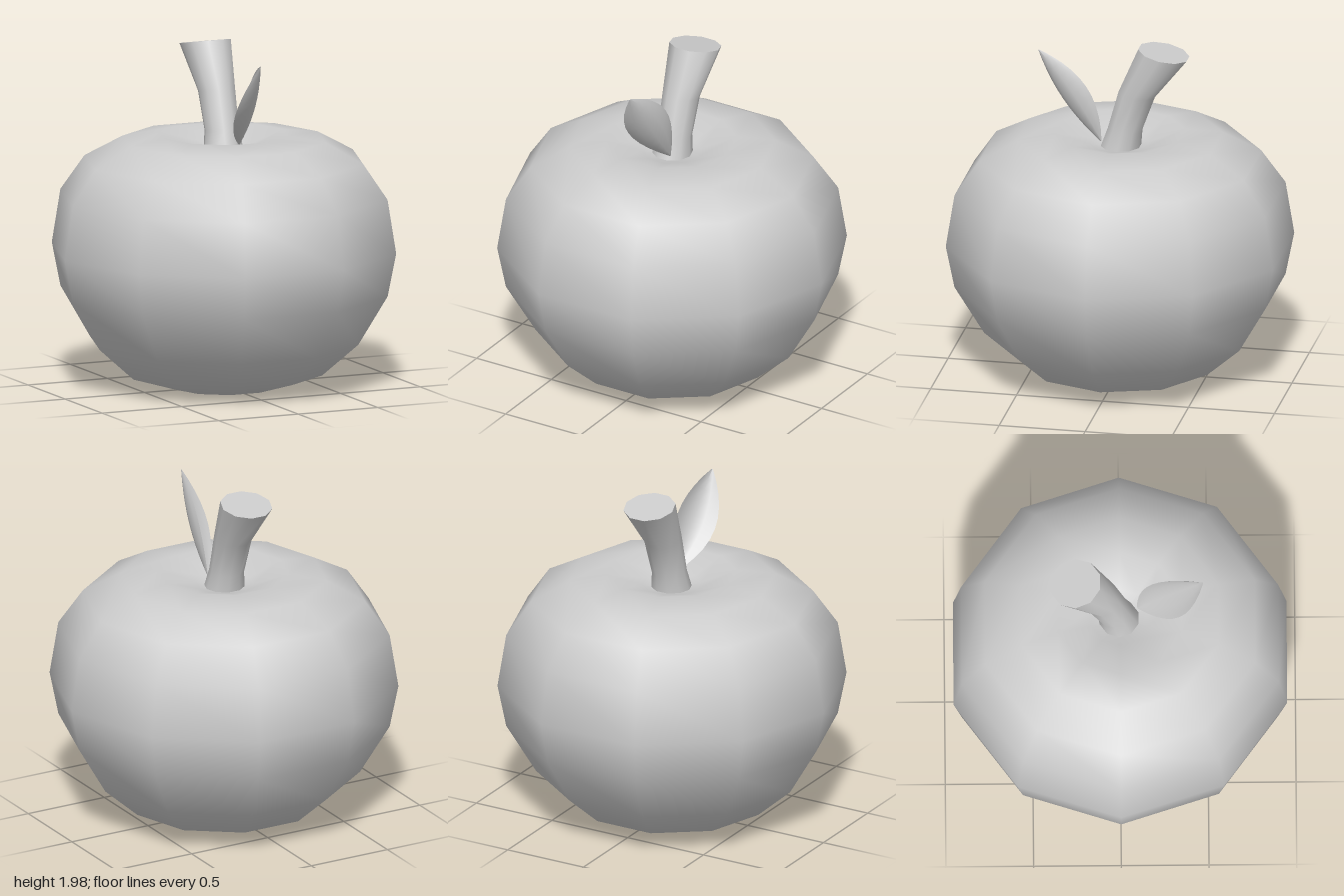
import * as THREE from 'three';
import { toCreasedNormals } from 'three/addons/utils/BufferGeometryUtils.js';

const material = new THREE.MeshStandardMaterial({ color: 0xcccccc });

// Moves every vertex of a geometry by a rule, then smooths it with sharp rims
function reshape(geometry, rule, crease) {
  const pos = geometry.attributes.position;
  const v = new THREE.Vector3();
  for (let i = 0; i < pos.count; i++) {
    rule(v.fromBufferAttribute(pos, i));
    pos.setXYZ(i, v.x, v.y, v.z);
  }
  return toCreasedNormals(geometry, crease);
}

function part(name, geometry) {
  const mesh = new THREE.Mesh(geometry, material);
  mesh.name = name;
  return mesh;
}

// Ten-sided fruit with a dimple around the stem
function createFruit() {
  const profile = [
    [0, 0.01], [0.3, 0], [0.57, 0.08], [0.78, 0.265], [0.95, 0.55], [1, 0.8],
    [0.95, 1.11], [0.81, 1.31], [0.59, 1.43], [0.37, 1.46], [0.17, 1.39], [0, 1.35],
  ].map(([r, y]) => new THREE.Vector2(r, y));
  return part('fruit', new THREE.LatheGeometry(profile, 10, Math.PI / 2));
}

// Stem that leans back and flares at the top
function createStem() {
  const rings = [ // height, z, radius, tilt
    [1.35, 0, 0.12, 0],
    [1.48, -0.03, 0.1, 0.08],
    [1.7, -0.1, 0.108, 0.14],
    [1.957, -0.255, 0.15, 0.19],
  ];
  const geometry = new THREE.CylinderGeometry(1, 1, 1, 10, 3, false, Math.PI / 2);
  return part('stem', reshape(geometry, (v) => {
    const [y, z, r, tilt] = rings[Math.round((v.y + 0.5) * 3)];
    const dz = v.z * r;
    v.set(v.x * r, y + dz * Math.sin(tilt), z + dz * Math.cos(tilt));
  }, 0.9));
}

// Thin cupped leaf, swept from its base to a pointed tip
function createLeaf() {
  const base = new THREE.Vector3(0.05, 1.41, 0.1);
  const tip = new THREE.Vector3(0.01, 1.925, 0.472);
  const along = tip.clone().sub(base);
  const length = along.length();
  along.normalize();
  const under = new THREE.Vector3(0.135, 0.09, -0.14).cross(along).normalize();
  const across = along.clone().cross(under);
  const frame = new THREE.Matrix4().makeBasis(across, along, under).setPosition(base);

  const geometry = new THREE.CylinderGeometry(1, 1, 1, 12, 10, true, Math.PI / 2);
  return part('leaf', reshape(geometry, (v) => {
    const t = v.y + 0.5;
    const s = Math.max(0.03, Math.pow(Math.max(0, Math.sin(Math.PI * t)), 0.85));
    v.set(0.125 * v.x * s, length * t, s * (0.02 - 0.07 * v.x * v.x + 0.011 * v.z));
    v.applyMatrix4(frame);
  }, 0.9));
}

export function createModel() {
  const model = new THREE.Group();
  model.name = 'apple';
  model.add(createFruit(), createStem(), createLeaf());
  return model;
}
